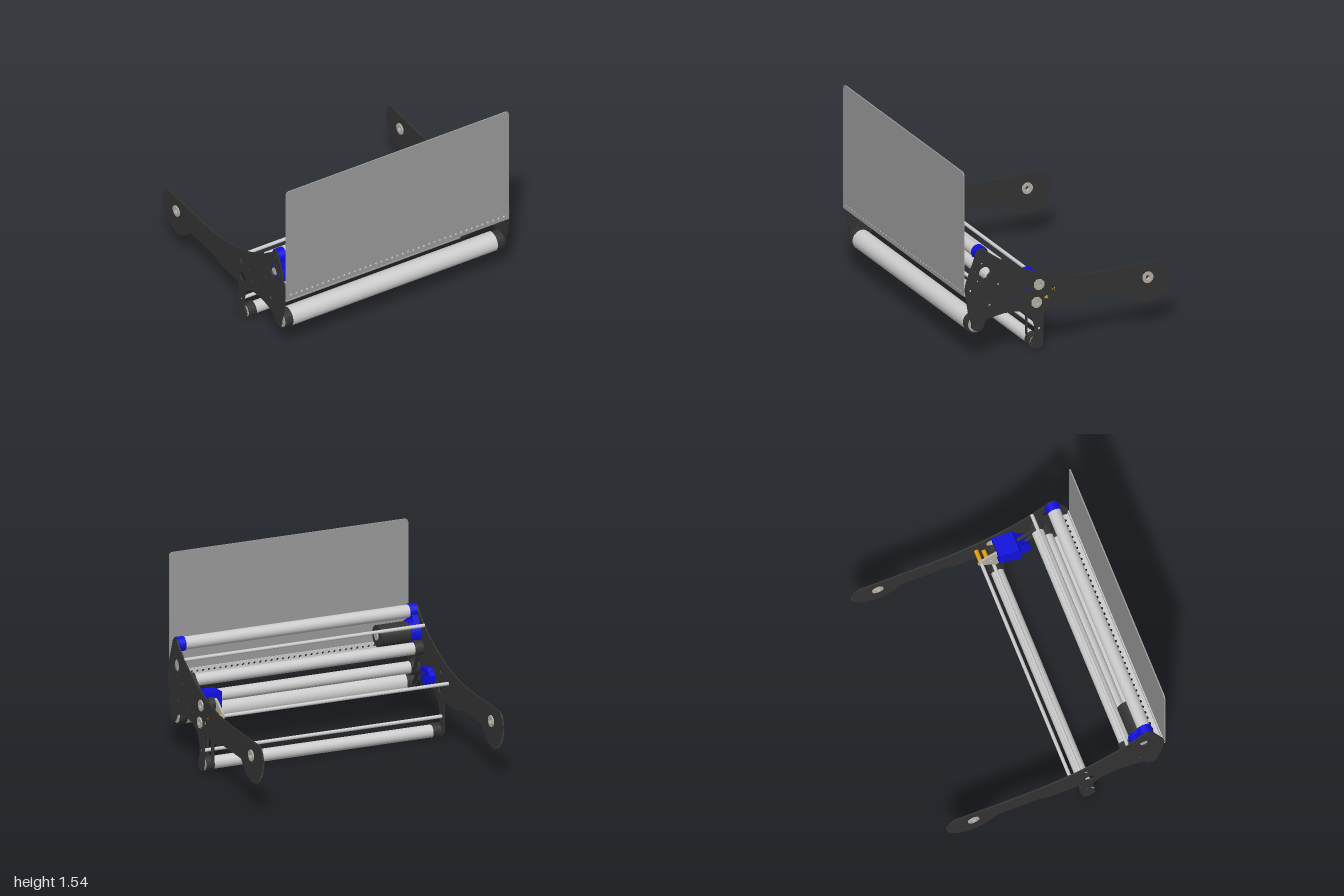
import * as THREE from 'three';

const mat = (color) => new THREE.MeshStandardMaterial({ color });
const grey = mat(0xcccccc), dark = mat(0x333333), blue = mat(0x1010e0);
const orange = mat(0xe0a010), steel = mat(0xb4b0a6), sheet = mat(0x999999);

export function createModel() {
  const root = new THREE.Group();

  const add = (name, geo, material, parent = root) => {
    const mesh = new THREE.Mesh(geo, material);
    mesh.name = name;
    parent.add(mesh);
    return mesh;
  };
  // cylinder lying along x between x0 and x1, centred on (z, y)
  const bar = (name, z, y, r, x0, x1, material, sides = 32) =>
    add(name, new THREE.CylinderGeometry(r, r, Math.abs(x1 - x0), sides)
      .rotateZ(Math.PI / 2).translate((x0 + x1) / 2, y, z), material);
  const circle = (z, y, r) => new THREE.Path().absarc(z, y, r, 0, Math.PI * 2, true);
  // profile drawn in (z, y), extruded along x between x0 and x1
  const slab = (name, shape, x0, x1, material) =>
    add(name, new THREE.ExtrudeGeometry(shape, { depth: x1 - x0, bevelEnabled: false, curveSegments: 20 })
      .rotateY(-Math.PI / 2).translate(x1, 0, 0), material);
  const polygon = (pts) => new THREE.Shape(pts.map(([a, b]) => new THREE.Vector2(a, b)));
  const ring = (name, z, y, r, hole, x0, x1, material, sides = 32) => {
    const s = polygon(Array.from({ length: sides }, (_, i) => {
      const a = (i + 0.5) / sides * Math.PI * 2;
      return [z + r * Math.cos(a), y + r * Math.sin(a)];
    }));
    s.holes.push(circle(z, y, hole));
    return slab(name, s, x0, x1, material);
  };

  // side plates: upright body, leg, and rear arm ending in a gear sector
  const plateShape = (side) => {
    const s = new THREE.Shape();
    const lines = (pts) => pts.forEach(([z, y]) => s.lineTo(z, y));
    s.absarc(0.73, 0.86, 0.047, 0.25, 2.2, false);
    lines([[0.675, 0.865], [0.52, 0.75], [0.335, 0.657], [0.15, 0.59], [-0.065, 0.545],
      [-0.275, 0.53], [-0.8, 0.53], [-0.83, 0.518], [-0.85, 0.49], [-0.87, 0.436]]);
    const teeth = 24, from = 3.1, step = (4.85 - from) / teeth;
    for (let i = 0; i < teeth; i++) {
      [[0, 0.197], [0.3, 0.212], [0.6, 0.212], [0.9, 0.197]].forEach(([f, r]) => {
        const a = from + (i + f) * step;
        s.lineTo(-0.665 + r * Math.cos(a), 0.413 + r * Math.sin(a));
      });
    }
    lines([[-0.58, 0.23], [-0.53, 0.27], [-0.476, 0.325], [-0.46, 0.33], [-0.125, 0.33],
      [-0.055, 0.3], [0.195, 0.3], [0.21, 0.285]]);
    s.absarc(0.265, 0.06, 0.052, Math.PI, Math.PI * 2 + 0.7, false);
    lines([[0.285, 0.13], [0.285, 0.2], [0.31, 0.27], [0.35, 0.31], [0.405, 0.335],
      [0.475, 0.346], [0.545, 0.347], [0.665, 0.33], [0.715, 0.305]]);
    s.absarc(0.767, 0.296, 0.05, Math.PI, Math.PI * 2 + 0.3, false);
    lines([[0.84, 0.39], [0.87, 0.59], [0.86, 0.65]]);

    s.holes.push(circle(-0.665, 0.413, 0.022), circle(0.706, 0.704, 0.047),
      circle(0.25, 0.526, side > 0 ? 0.02 : 0.028), circle(0.27, 0.385, side > 0 ? 0.02 : 0.042));
    [[0.73, 0.86], [0.825, 0.577], [0.355, 0.505], [0.4, 0.43], [0.486, 0.446], [0.664, 0.437],
      [0.247, 0.17], [0.59, 0.59]].forEach(([z, y]) => s.holes.push(circle(z, y, 0.01)));
    // motor bolt circle
    for (let i = 0; i < 6; i++) {
      const a = i * Math.PI / 3 + 0.25;
      s.holes.push(circle(0.706 + 0.08 * Math.cos(a), 0.704 + 0.08 * Math.sin(a), 0.008));
    }
    return s;
  };
  for (const side of [-1, 1]) {
    const span = (a, b) => (side > 0 ? [a, b] : [-b, -a]);
    slab('sidePlate', plateShape(side), ...span(0.979, 0.99), dark);
    ring('armBearing', -0.665, 0.413, 0.045, 0.02, ...span(0.968, 1), steel, 16);
    if (side > 0) {
      ring('upperBearing', 0.25, 0.526, 0.045, 0.018, 0.975, 1, steel, 8);
      ring('lowerBearing', 0.27, 0.385, 0.045, 0.018, 0.975, 1, steel, 8);
    }
    // blue caps of the top roller and the two low rollers
    bar('topRollerCap', 0.73, 0.86, 0.056, side * 0.92, side * 0.979, blue);
    bar('frontRollerCap', 0.767, 0.296, 0.028, side * 0.96, side * 0.978, blue);
    bar('legRollerCap', 0.265, 0.06, 0.028, side * 0.96, side * 0.978, blue);
  }

  // rollers: [name, z, y, tube radius, pulley radius]
  const rollers = [
    ['frontRoller', 0.767, 0.296, 0.077, 0.072],
    ['middleRoller', 0.664, 0.44, 0.047, 0.06],
    ['upperRoller', 0.59, 0.61, 0.047, 0.055],
    ['legRoller', 0.265, 0.06, 0.049, 0.056],
  ];
  for (const [name, z, y, r, hub] of rollers) {
    bar(name, z, y, r, -0.9, 0.9, grey, 40);
    bar(name + 'Shaft', z, y, 0.012, -0.985, 0.985, steel, 12);
    for (const s of [-1, 1]) {
      bar(name + 'Pulley', z, y, hub, s * 0.9, s * 0.962, dark);
      for (const x of [0.903, 0.932, 0.96]) bar(name + 'Flange', z, y, hub + 0.004, s * (x - 0.003), s * (x + 0.003), dark);
      bar(name + 'EndRing', z, y, hub - 0.008, s * 0.962, s * 0.966, steel);
    }
  }
  bar('topRoller', 0.73, 0.86, 0.05, -0.92, 0.92, grey, 40);

  // cross rods
  for (const [z, y] of [[0.575, 0.785], [0.125, 0.465], [0.247, 0.17]])
    bar('crossRod', z, y, 0.014, -0.985, 0.985, grey, 16);
  bar('rearSpacer', 0.125, 0.465, 0.017, 0.885, 0.99, orange, 16);
  bar('innerSpacer', 0.185, 0.41, 0.017, 0.885, 0.99, orange, 16);

  // belts: hollow stadium loops between two pulley centres
  const stadium = (target, [z0, y0], [z1, y1], r) => {
    const a = Math.atan2(y1 - y0, z1 - z0);
    target.absarc(z1, y1, r, a - Math.PI / 2, a + Math.PI / 2, false);
    target.absarc(z0, y0, r, a + Math.PI / 2, a + Math.PI * 1.5, false);
    target.closePath();
    return target;
  };
  const belt = (a, b, r, x0, x1) => {
    const s = stadium(new THREE.Shape(), a, b, r);
    s.holes.push(stadium(new THREE.Path(), a, b, r - 0.008));
    slab('driveBelt', s, x0, x1, dark);
  };
  const drive = [0.27, 0.385];
  belt([0.265, 0.06], drive, 0.052, 0.9, 0.925);
  belt(drive, [0.59, 0.61], 0.052, 0.9, 0.925);
  belt([0.59, 0.61], [0.664, 0.44], 0.058, -0.935, -0.905);
  belt([0.664, 0.44], [0.767, 0.296], 0.062, -0.96, -0.937);
  bar('drivePulley', ...drive, 0.045, 0.895, 0.965, dark);
  bar('driveShaft', ...drive, 0.018, 0.86, 0.99, steel, 16);
  bar('driveGear', 0.25, 0.526, 0.055, 0.895, 0.94, dark);
  bar('gearShaft', 0.25, 0.526, 0.016, 0.86, 0.99, steel, 16);

  // inner lever plate carrying the drive pulley
  const lever = polygon([[0.1, 0.45], [0.125, 0.435], [0.24, 0.345], [0.29, 0.35], [0.305, 0.4],
    [0.285, 0.54], [0.25, 0.57], [0.21, 0.555], [0.11, 0.49]]);
  lever.holes.push(circle(0.2, 0.46, 0.015));
  slab('leverPlate', lever, 0.866, 0.884, steel);

  // blue gearbox on the left, blue mount on the right
  slab('gearboxHousing', polygon([[0.25, 0.47], [0.25, 0.615], [0.41, 0.6], [0.43, 0.55], [0.42, 0.4]]), 0.82, 0.978, blue);
  slab('gearboxNose', polygon([[0.4, 0.38], [0.42, 0.57], [0.52, 0.45], [0.53, 0.38], [0.47, 0.35]]), 0.87, 0.978, blue);
  const mount = polygon([[0.35, 0.4], [0.35, 0.46], [0.42, 0.5], [0.53, 0.48], [0.53, 0.38], [0.45, 0.36]]);
  [[0.4, 0.43], [0.486, 0.446]].forEach(([z, y]) => mount.holes.push(circle(z, y, 0.012)));
  slab('blueMount', mount, -0.979, -0.932, blue);

  // motor with its blue bracket
  bar('motorBody', 0.706, 0.704, 0.085, -0.9, -0.655, dark, 40);
  bar('motorNeck', 0.706, 0.704, 0.03, -0.985, -0.645, steel, 20);
  ring('motorBracket', 0.706, 0.704, 0.095, 0.04, -0.979, -0.9, blue, 32);
  slab('motorBracketArm', polygon([[0.62, 0.7], [0.79, 0.72], [0.775, 0.86], [0.685, 0.86]]), -0.979, -0.93, blue);

  // tall front sheet and perforated angle strip along its foot
  const holeXs = Array.from({ length: 41 }, (_, i) => -0.94 + i * 0.0468);
  const x0 = -0.985, x1 = 0.975, c = 0.025;
  const sheetShape = polygon([[x0, 0.54], [x1, 0.54], [x1, 1.54 - c], [x1 - c * 0.3, 1.54 - c * 0.3],
    [x1 - c, 1.54], [x0 + c, 1.54], [x0 + c * 0.3, 1.54 - c * 0.3], [x0, 1.54 - c]]);
  holeXs.forEach((x) => sheetShape.holes.push(circle(x, 0.577, 0.011)));
  const flat = (shape, depth) => new THREE.ExtrudeGeometry(shape, { depth, bevelEnabled: false, curveSegments: 6 });
  add('frontSheet', flat(sheetShape, 0.01).translate(0, 0, 0.868), sheet);
  const strip = () => {
    const s = polygon([[-0.978, 0], [0.978, 0], [0.978, 0.067], [-0.978, 0.067]]);
    holeXs.forEach((x) => s.holes.push(circle(x, 0.037, 0.011)));
    return flat(s, 0.007);
  };
  add('angleUpright', strip().translate(0, 0.54, 0.861), grey);
  add('angleLedge', strip().rotateX(-Math.PI / 2).translate(0, 0.54, 0.861), grey);

  return root;
}
